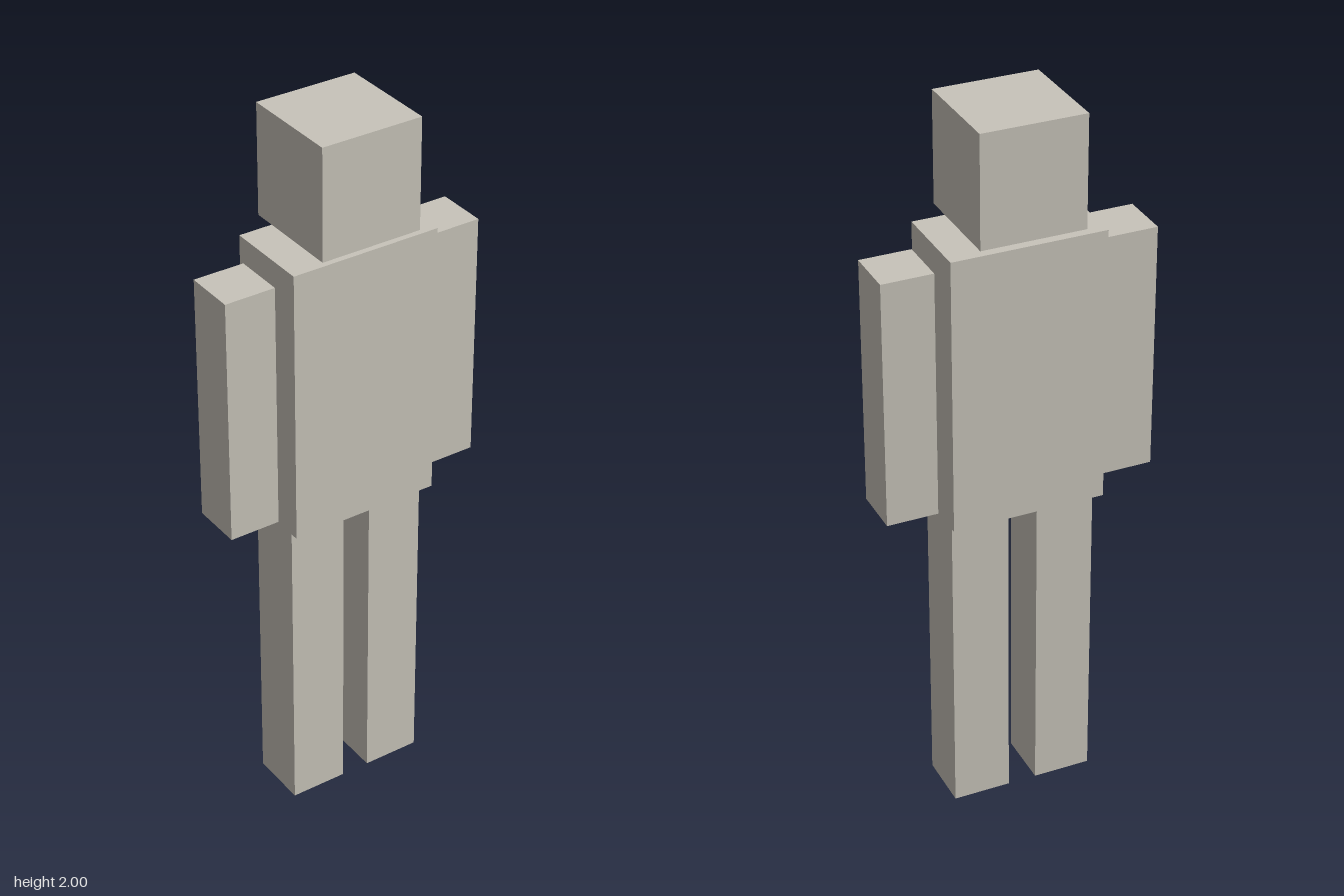
import * as THREE from 'three';

export function createModel() {
  const group = new THREE.Group();
  const stone = new THREE.MeshStandardMaterial({ color: 0xc8c4ba });
  stone.name = 'warm grey';

  // Box given by its size, centre x and bottom height
  function block(name, width, height, depth, x, bottom) {
    const mesh = new THREE.Mesh(new THREE.BoxGeometry(width, height, depth), stone);
    mesh.name = name;
    mesh.position.set(x, bottom + height / 2, 0);
    group.add(mesh);
  }

  // Head floats just above the torso
  block('head', 0.284, 0.306, 0.284, 0, 1.694);
  block('torso', 0.422, 0.769, 0.242, 0, 0.899);

  // Mirrored limbs; the model's left is +x
  for (const [side, sign] of [['left', 1], ['right', -1]]) {
    block(side + 'Arm', 0.141, 0.689, 0.142, sign * 0.303, 0.931);
    block(side + 'Leg', 0.16, 0.899, 0.162, sign * 0.12, 0);
  }

  return group;
}
